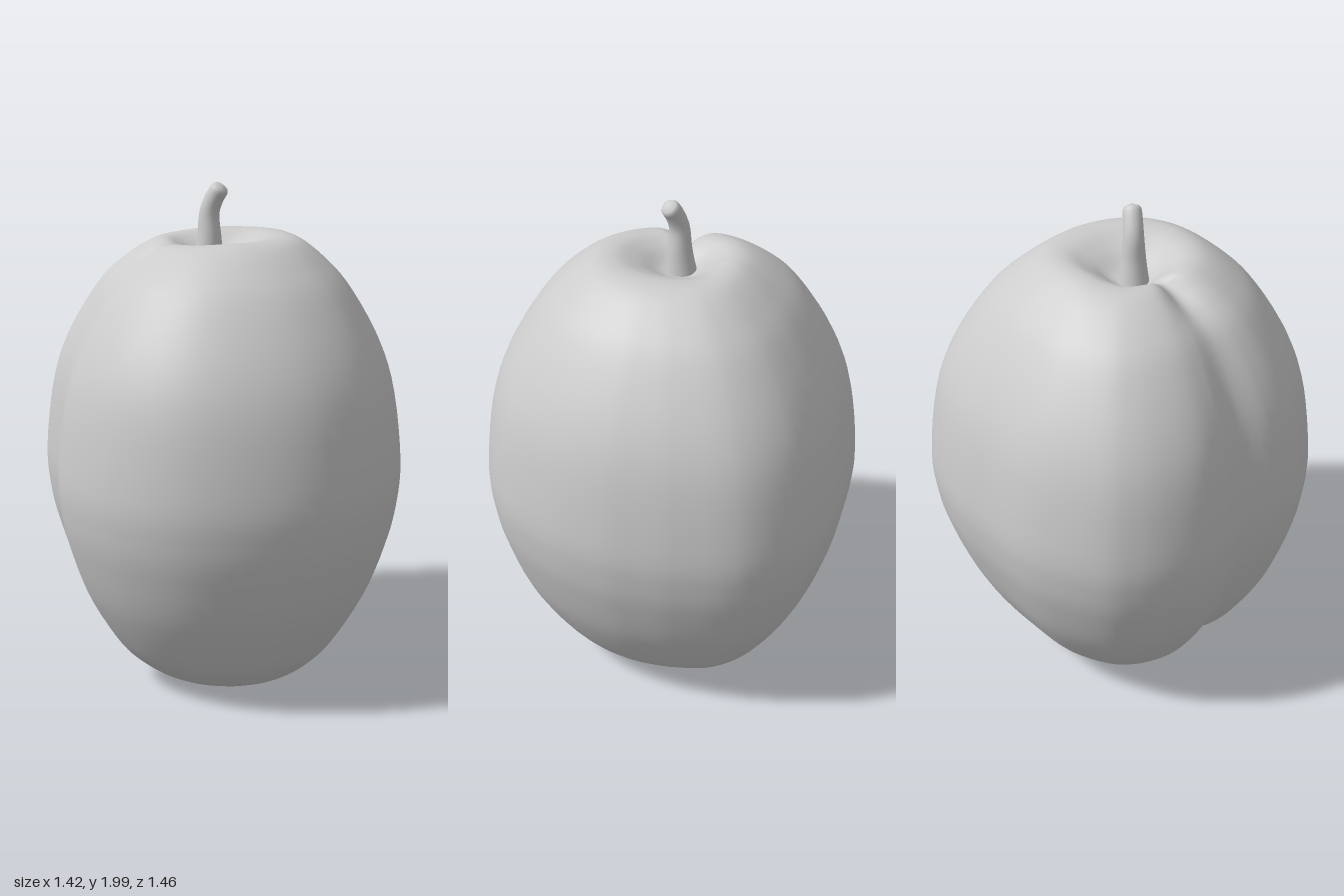
import * as THREE from 'three';
import { mergeVertices } from 'three/addons/utils/BufferGeometryUtils.js';
import { ParametricGeometry } from 'three/addons/geometries/ParametricGeometry.js';

const material = new THREE.MeshStandardMaterial({ color: 0xcccccc, roughness: 0.6 });

// Widest cross-section as [x, z]: flattened back, soft notch on the -x side
const outline = new THREE.CatmullRomCurve3([
  [0.705, -0.08], [0.69, -0.24], [0.62, -0.48], [0.46, -0.64], [0.2, -0.72], [0, -0.73],
  [-0.28, -0.71], [-0.53, -0.59], [-0.62, -0.49], [-0.68, -0.37], [-0.71, -0.24], [-0.7, -0.12],
  [-0.66, 0.02], [-0.68, 0.17], [-0.66, 0.3], [-0.51, 0.53], [-0.28, 0.68], [0, 0.725],
  [0.27, 0.68], [0.5, 0.53], [0.64, 0.3], [0.7, 0.08],
].map(([x, z]) => new THREE.Vector3(x, 0, z)), true);

// Side profile as [scale of the cross-section, height], from bottom dimple to top dimple
const profile = new THREE.SplineCurve([
  [0.005, 0.085], [0.1, 0.07], [0.2, 0.035], [0.32, 0.01], [0.44, 0.035], [0.56, 0.1],
  [0.68, 0.2], [0.84, 0.4], [0.94, 0.6], [0.987, 0.75], [1, 0.92], [0.95, 1.2],
  [0.855, 1.4], [0.69, 1.6], [0.55, 1.71], [0.41, 1.785], [0.3, 1.797], [0.2, 1.765],
  [0.1, 1.715], [0.005, 1.7],
].map(p => new THREE.Vector2(...p)));

function fruitSurface(u, v, target) {
  const ring = outline.getPoint(u);
  const { x: s, y } = profile.getPoint(v);
  // Crease along -x, deepening where it runs over the rims
  const angle = Math.atan2(ring.z - 0.02, -ring.x);
  const crease = Math.exp(-((angle / 0.22) ** 2));
  const rim = Math.exp(-(((s - 0.38) / 0.2) ** 2));
  const inward = 1 - 0.05 * crease * rim;
  // Dimples sit slightly off centre, under the stem
  const k = 1 - THREE.MathUtils.smoothstep(s, 0, 0.45);
  const drop = (y > 0.9 ? -0.05 : 0.04) * crease * rim;
  const tilt = (y > 0.9 ? -0.02 : 0.012) * rim * Math.max(0, Math.cos(angle));
  target.set(ring.x * s * inward - 0.06 * k, y + drop + tilt, ring.z * s * inward - 0.025 * k);
}

// Tapered, bent stem with a rounded tip
function stemGeometry() {
  const segments = 32, sides = 20;
  const path = new THREE.CatmullRomCurve3([
    [-0.065, 1.67, -0.027], [-0.062, 1.79, -0.022], [-0.06, 1.89, -0.02],
    [-0.04, 1.95, -0.006], [-0.012, 1.996, 0.012],
  ].map(p => new THREE.Vector3(...p)));
  const geometry = new THREE.TubeGeometry(path, segments, 1, sides);
  const position = geometry.attributes.position;
  const point = new THREE.Vector3();
  for (let i = 0; i < position.count; i++) {
    const t = Math.floor(i / (sides + 1)) / segments;
    const centre = path.getPointAt(t);
    const taper = 0.036 + 0.032 * (1 - t) ** 2.2;
    const dome = t > 0.92 ? Math.sqrt(Math.max(0, 1 - ((t - 0.92) / 0.08) ** 2)) : 1;
    point.fromBufferAttribute(position, i).sub(centre).multiplyScalar(taper * dome).add(centre);
    position.setXYZ(i, point.x, point.y, point.z);
  }
  geometry.deleteAttribute('uv');
  geometry.deleteAttribute('normal');
  const smooth = mergeVertices(geometry, 1e-5);
  smooth.computeVertexNormals();
  return smooth;
}

export function createModel() {
  const model = new THREE.Group();
  model.name = 'plum';

  const fruit = new THREE.Mesh(new ParametricGeometry(fruitSurface, 96, 80), material);
  fruit.name = 'fruit';

  const stem = new THREE.Mesh(stemGeometry(), material);
  stem.name = 'stem';

  model.add(fruit, stem);
  return model;
}
